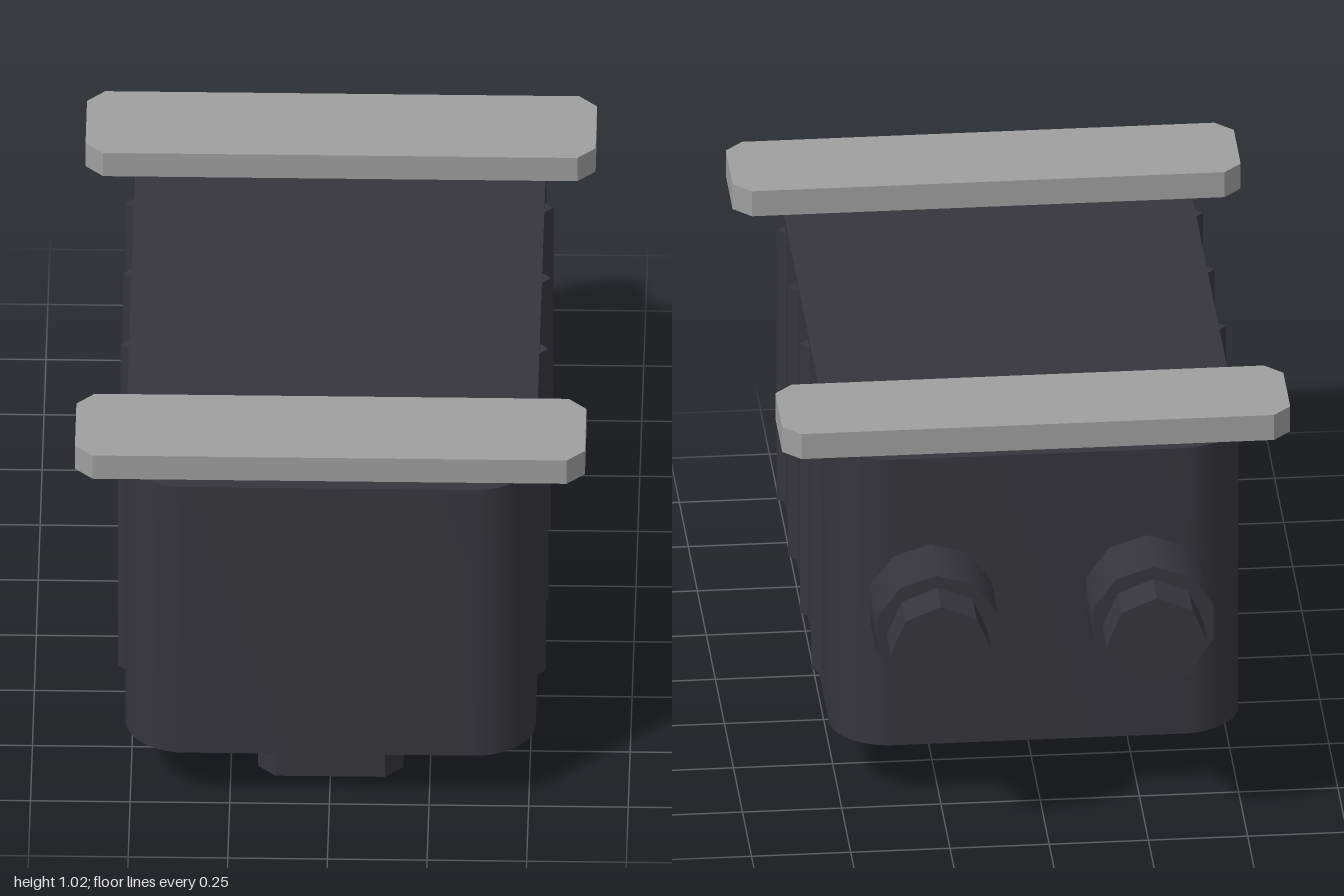
import * as THREE from 'three';
import { toCreasedNormals } from 'three/addons/utils/BufferGeometryUtils.js';

const housing = new THREE.MeshStandardMaterial({ name: 'dark housing', color: 0x36353c });
const metal = new THREE.MeshStandardMaterial({ name: 'grey metal', color: 0x9f9f9f });

// Rectangle with cut or rounded corners
function cornerRect(w, d, c, round) {
  const x = w / 2, y = d / 2, s = new THREE.Shape();
  const corner = (cx, cy, ex, ey) => round ? s.quadraticCurveTo(cx, cy, ex, ey) : s.lineTo(ex, ey);
  const arc = (cx, cy, a) => round ? s.absarc(cx, cy, c, a, a + Math.PI / 2, false) : null;
  s.moveTo(x, -y + c);
  s.lineTo(x, y - c);
  arc(x - c, y - c, 0) || corner(x, y, x - c, y);
  s.lineTo(-x + c, y);
  arc(-x + c, y - c, Math.PI / 2) || corner(-x, y, -x, y - c);
  s.lineTo(-x, -y + c);
  arc(-x + c, -y + c, Math.PI) || corner(-x, -y, -x + c, -y);
  s.lineTo(x - c, -y);
  arc(x - c, -y + c, Math.PI * 1.5) || corner(x, -y, x, -y + c);
  return s;
}

// Upright slab made from a footprint outline
function slab(shape, y0, y1) {
  const g = new THREE.ExtrudeGeometry(shape, { depth: y1 - y0, bevelEnabled: false, curveSegments: 8 });
  g.rotateX(-Math.PI / 2);
  g.translate(0, y0, 0);
  return toCreasedNormals(g, 0.6);
}

export function createModel() {
  const root = new THREE.Group();
  root.name = 'junctionBox';
  const add = (name, geometry, material, x = 0, y = 0, z = 0) => {
    const m = new THREE.Mesh(geometry, material);
    m.name = name;
    m.position.set(x, y, z);
    root.add(m);
    return m;
  };

  // Main case with rounded vertical corners
  add('case', slab(cornerRect(1.03, 1.71, 0.15, true), 0.15, 0.95), housing, 0, 0, 0.145);

  // Mounting bars across the top
  const bar = slab(cornerRect(1.28, 0.28, 0.045, false), 0.95, 1.02);
  add('frontMountingBar', bar, metal, 0, 0, 0.827);
  add('rearMountingBar', bar, metal, 0, 0, -0.545);

  // Plug underneath
  add('bottomPlug', slab(cornerRect(0.365, 0.315, 0.045, false), 0, 0.15), housing, 0, 0, 0.717);

  // Thin ridges down both sides
  const ridge = toCreasedNormals(new THREE.CylinderGeometry(0.024, 0.024, 0.755, 4), 0.5);
  for (const side of [-1, 1])
    for (const z of [-0.315, 0.005, 0.325, 0.645])
      add('sideRidge', ridge, housing, side * 0.513, 0.5525, z);

  // Cable glands on the back: round collar and faceted nut
  const collar = new THREE.CylinderGeometry(0.16, 0.16, 0.29, 10).rotateX(-Math.PI / 2);
  const nut = toCreasedNormals(new THREE.CylinderGeometry(0.127, 0.127, 0.2, 8), 0.5).rotateX(-Math.PI / 2);
  for (const side of [-1, 1]) {
    add('glandCollar', collar, housing, side * 0.272, 0.55, -0.745);
    add('glandNut', nut, housing, side * 0.272, 0.55, -0.9);
  }
  return root;
}
